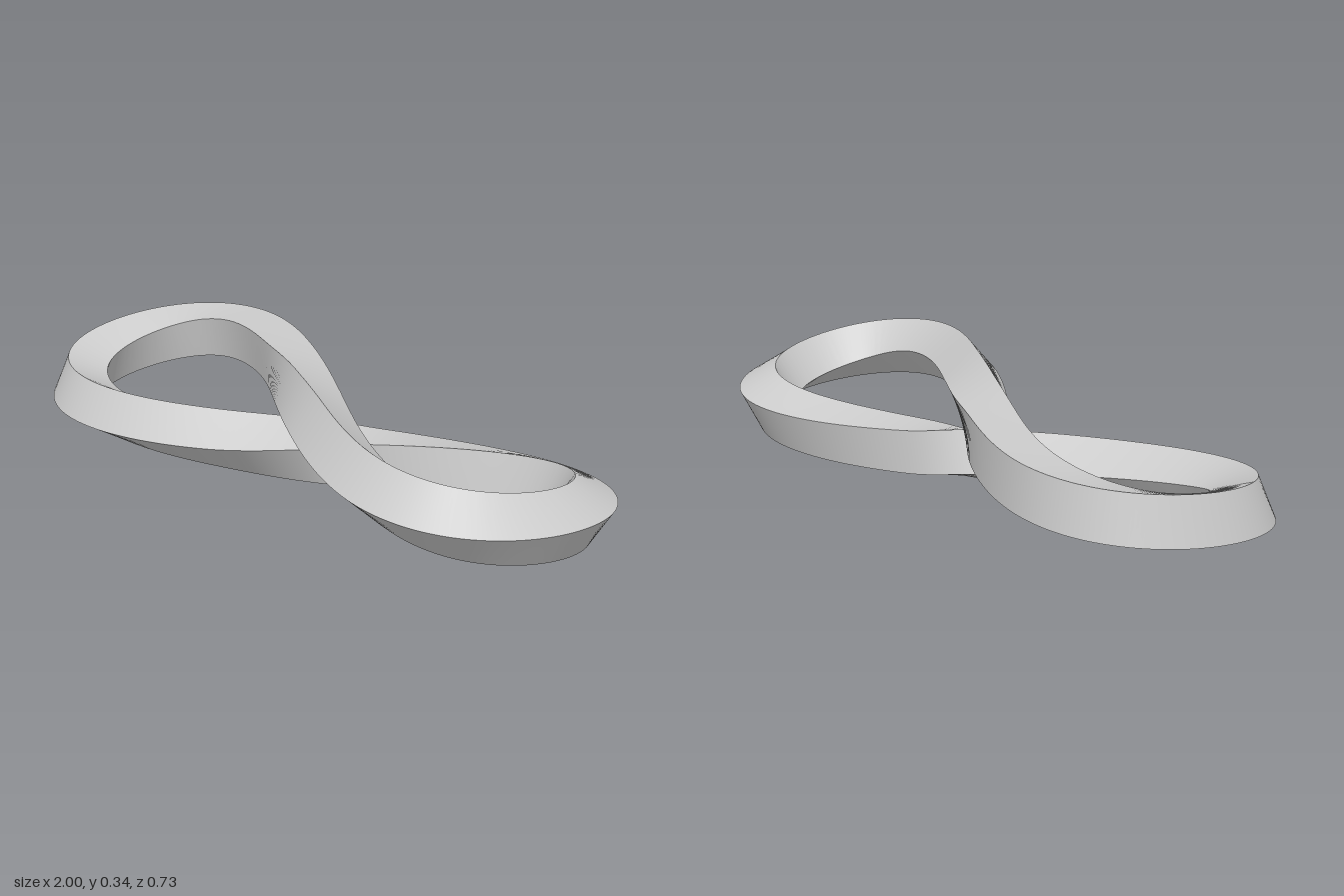
import * as THREE from 'three';
import { toCreasedNormals } from 'three/addons/utils/BufferGeometryUtils.js';

const SIDE = 0.128; // edge of the square section
const SEGMENTS = 360;

// Twist of the section: [degrees along the loop, degrees of roll]; half a turn in all
const TWIST = [
  [0, 33.7], [45, 47], [75, 52], [90, 66], [109, 90], [135, 97], [180, 108.4],
  [225, 118], [255, 134], [270, 156], [281, 180], [315, 203.5],
];

function key(i) {
  const n = TWIST.length, turn = Math.floor(i / n);
  const [t, a] = TWIST[i - turn * n];
  return [t + 360 * turn, a + 180 * turn];
}

function slope(i) {
  const p = key(i - 1), q = key(i + 1);
  return (q[1] - p[1]) / (q[0] - p[0]);
}

// Smooth interpolation between the twist keys
function rollAt(deg) {
  let i = 0;
  while (i < TWIST.length - 1 && key(i + 1)[0] <= deg) i++;
  const [t0, a0] = key(i), [t1, a1] = key(i + 1);
  const h = t1 - t0, u = (deg - t0) / h, u2 = u * u, u3 = u2 * u;
  return a0 * (2 * u3 - 3 * u2 + 1) + a1 * (3 * u2 - 2 * u3)
    + h * (slope(i) * (u3 - 2 * u2 + u) + slope(i + 1) * (u3 - u2));
}

// Square section swept along a figure-eight that rises and dips at the crossing
function twistedLoop() {
  const positions = [], index = [];
  const up = new THREE.Vector3(0, 1, 0);
  for (let i = 0; i <= SEGMENTS; i++) {
    const deg = (i / SEGMENTS) * 360, t = THREE.MathUtils.degToRad(deg);
    const centre = new THREE.Vector3(0.916 * Math.cos(t), 0.17 + 0.08 * Math.sin(t), 0.279 * Math.sin(2 * t));
    const tangent = new THREE.Vector3(-0.916 * Math.sin(t), 0.08 * Math.cos(t), 0.558 * Math.cos(2 * t)).normalize();
    const across = new THREE.Vector3().crossVectors(tangent, up).normalize();
    const lift = new THREE.Vector3().crossVectors(across, tangent);
    for (let k = 0; k < 4; k++) {
      const a = THREE.MathUtils.degToRad(rollAt(deg) + 45 + 90 * k);
      const p = centre.clone()
        .addScaledVector(across, Math.cos(a) * SIDE * Math.SQRT1_2)
        .addScaledVector(lift, Math.sin(a) * SIDE * Math.SQRT1_2);
      positions.push(p.x, p.y, p.z);
      if (i < SEGMENTS) {
        const n = (k + 1) % 4, r = i * 4, s = r + 4;
        index.push(r + k, s + k, r + n, s + k, s + n, r + n);
      }
    }
  }
  const geometry = new THREE.BufferGeometry();
  geometry.setAttribute('position', new THREE.Float32BufferAttribute(positions, 3));
  geometry.setIndex(index);

  // Centre it and stand it on the ground
  geometry.computeBoundingBox();
  const box = geometry.boundingBox, mid = box.getCenter(new THREE.Vector3());
  geometry.translate(-mid.x, -box.min.y, -mid.z);
  return toCreasedNormals(geometry, 0.7);
}

export function createModel() {
  const group = new THREE.Group();
  group.name = 'infinityLoop';
  const band = new THREE.Mesh(twistedLoop(), new THREE.MeshStandardMaterial({ color: 0xcccccc }));
  band.name = 'twistedBand';
  group.add(band);
  return group;
}
